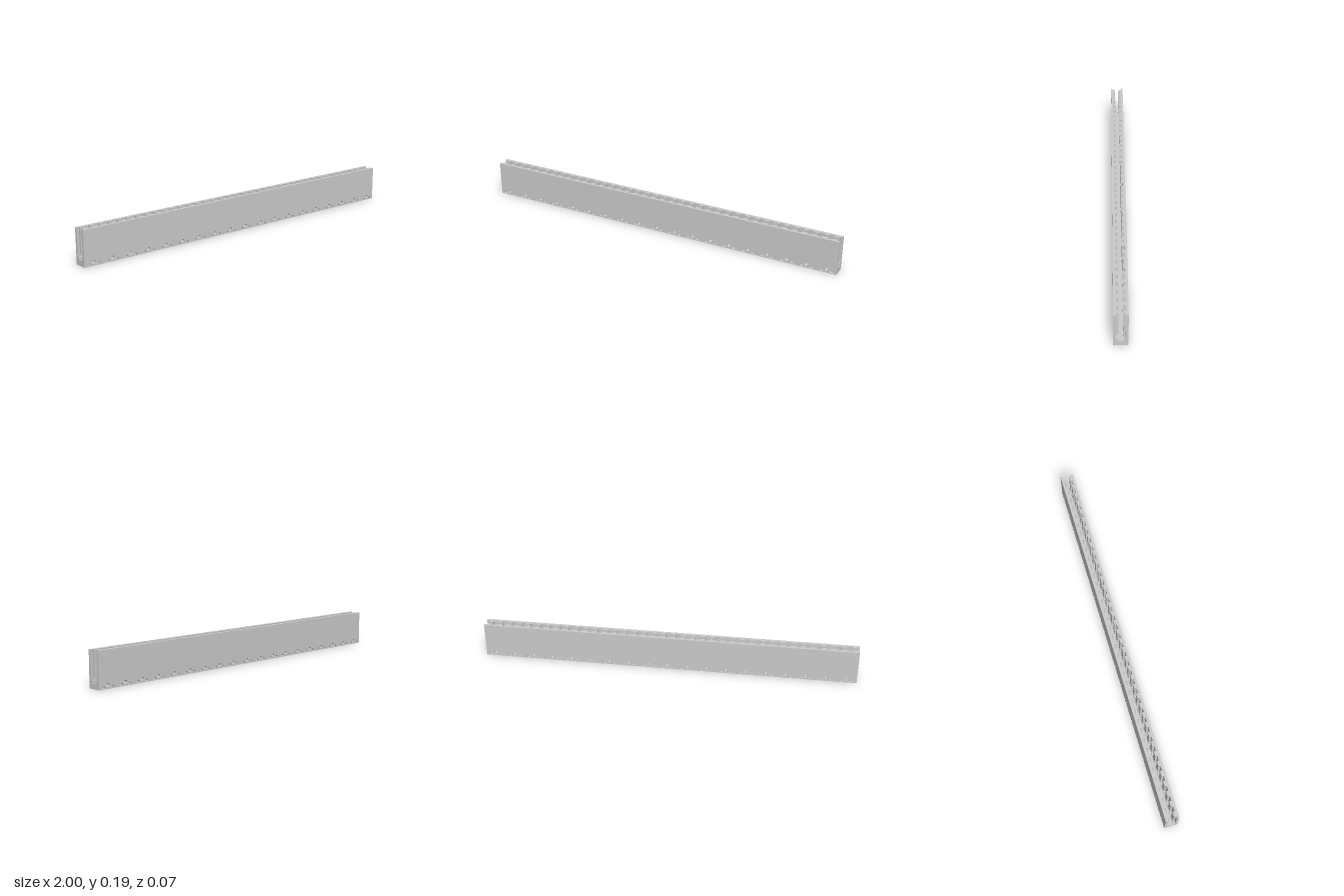
import * as THREE from 'three';

const MODULES = 19, PITCH = 2 / MODULES;
const HEIGHT = 0.185, SKIN = 0.01, HALF = 0.035;
const material = new THREE.MeshStandardMaterial({ color: 0xcccccc, flatShading: true });
const centres = Array.from({ length: MODULES }, (_, i) => -1 + (i + 0.5) * PITCH);

// Full-length upright slab, given a list of holes
function slab(height, depth, holes) {
  const shape = new THREE.Shape();
  shape.moveTo(-1, 0).lineTo(1, 0).lineTo(1, height).lineTo(-1, height).closePath();
  shape.holes = holes;
  return new THREE.ExtrudeGeometry(shape, { depth, bevelEnabled: false, curveSegments: 12 });
}

const roundHole = (x) => new THREE.Path().absarc(x, 0.018, 0.009, 0, Math.PI * 2, true);

// Small arched recess beside each round hole
function archHole(x) {
  const p = new THREE.Path();
  p.moveTo(x - 0.009, 0.003);
  p.absarc(x, 0.006, 0.009, Math.PI, 0, true);
  p.lineTo(x + 0.009, 0.003).closePath();
  return p;
}

export function createModel() {
  const group = new THREE.Group();
  const add = (name, geometry, x = 0, y = 0, z = 0) => {
    const mesh = new THREE.Mesh(geometry, material);
    mesh.name = name;
    mesh.position.set(x, y, z);
    group.add(mesh);
  };
  const box = (name, w, h, d, x, y, z) =>
    add(name, new THREE.BoxGeometry(w, h, d), x, y + h / 2, z);

  // Solid floor pierced by the round drain holes
  const inner = HALF - SKIN;
  add('channelFloor', slab(0.028, 2 * inner, centres.map(roundHole)), 0, 0, -inner);

  // Outer walls with drain holes and shallow arches
  const wallHoles = centres.flatMap((x) => [roundHole(x), archHole(x - 0.026), archHole(x + 0.026)]);
  const wall = slab(HEIGHT, SKIN, wallHoles);
  add('frontWall', wall, 0, 0, inner);
  add('backWall', wall, 0, 0, -HALF);

  for (const s of [1, -1]) {
    // Wall lining and the step along the floor
    box('wallLining', 2, HEIGHT - 0.028, inner - 0.022, 0, 0.028, s * (inner + 0.022) / 2);
    box('floorLedge', 2, 0.012, 0.011, 0, 0.028, s * 0.0165);

    // Vertical ribs, two in each module
    for (const x of centres)
      for (const dx of [-PITCH / 4, PITCH / 4])
        box('innerRib', 0.026, HEIGHT - 0.057, 0.0115, x + dx, 0.057, s * 0.01675);
  }
  return group;
}
